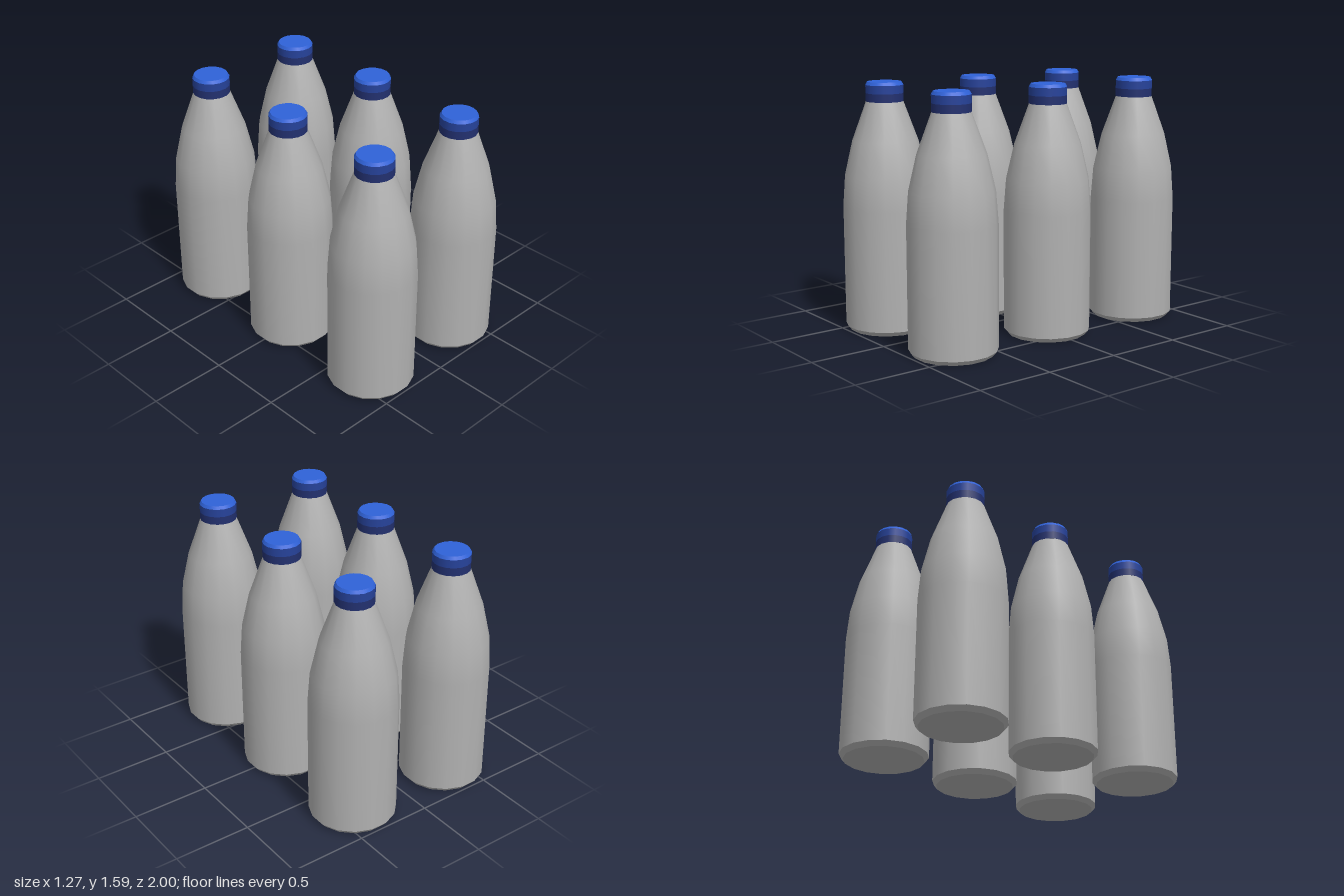
import * as THREE from 'three';

const SIDES = 16;
const TURN = Math.PI / SIDES; // puts a flat side on each axis
const GROW = 1 / Math.cos(TURN); // flat-to-flat radius -> corner radius

// Revolved wall from [radius, height] pairs, listed bottom to top
function wall(name, profile, material) {
  const points = profile.map(([r, y]) => new THREE.Vector2(r * GROW, y));
  const geometry = new THREE.LatheGeometry(points, SIDES);
  geometry.rotateY(TURN);
  const mesh = new THREE.Mesh(geometry, material);
  mesh.name = name;
  return mesh;
}

// Flat end facing up (1) or down (-1)
function disc(name, radius, y, facing, material) {
  const geometry = new THREE.CircleGeometry(radius * GROW, SIDES, TURN);
  geometry.rotateX(-facing * Math.PI / 2);
  geometry.translate(0, y, 0);
  const mesh = new THREE.Mesh(geometry, material);
  mesh.name = name;
  return mesh;
}

function colour(name, hex) {
  const material = new THREE.MeshStandardMaterial({ color: hex });
  material.name = name;
  return material;
}

export function createModel() {
  const model = new THREE.Group();
  model.name = 'bottles';
  const grey = colour('bottle grey', 0xb0b0b0);
  const blue = colour('cap blue', 0x2f62d8);
  const midBlue = colour('cap side blue', 0x26429a);
  const darkBlue = colour('cap ring dark blue', 0x22306f);

  // One bottle: chamfered foot, straight body, curved shoulder, slim neck
  function bottle() {
    const group = new THREE.Group();
    group.name = 'bottle';
    group.add(
      disc('base', 0.245, 0, -1, grey),
      wall('foot', [[0.245, 0], [0.27, 0.03]], grey),
      wall('body', [[0.27, 0.03], [0.27, 0.8], [0.255, 1.0], [0.205, 1.22], [0.115, 1.47]], grey),
      disc('capUnderside', 0.117, 1.468, -1, darkBlue),
      wall('capRing', [[0.117, 1.468], [0.117, 1.52]], darkBlue),
      wall('capSide', [[0.117, 1.52], [0.117, 1.572]], midBlue),
      wall('capBevel', [[0.117, 1.572], [0.106, 1.592]], blue),
      disc('capTop', 0.106, 1.592, 1, blue)
    );
    return group;
  }

  // Two columns of three bottles
  for (const x of [-0.365, 0.365]) {
    for (const z of [-0.73, 0, 0.73]) {
      const b = bottle();
      b.position.set(x, 0, z);
      model.add(b);
    }
  }
  return model;
}
